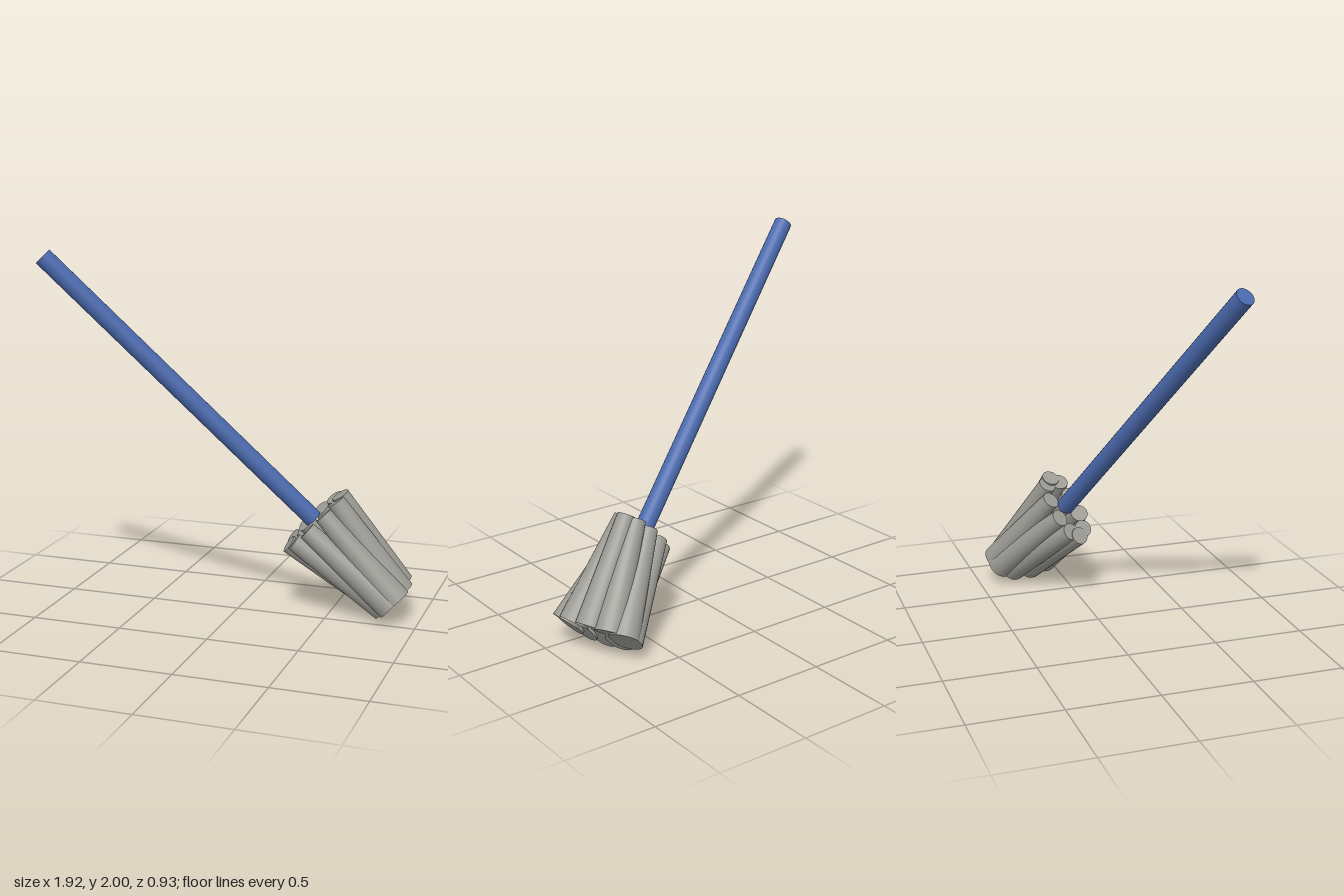
import * as THREE from 'three';

export function createModel() {
  const blue = new THREE.MeshStandardMaterial({ color: 0x4a69ad });
  blue.name = 'blue handle';
  const grey = new THREE.MeshStandardMaterial({ color: 0x9c9b95 });
  grey.name = 'grey strands';

  const model = new THREE.Group();
  model.name = 'mop';

  // Leaning mop; the origin is the foot of the handle
  const mop = new THREE.Group();
  mop.name = 'leaningMop';
  mop.position.set(0.414, 0.54, -0.061);
  mop.rotation.set(0, Math.PI / 9, Math.PI / 4, 'YZX');
  model.add(mop);

  // Handle
  const length = 2.015;
  const handle = new THREE.Mesh(new THREE.CylinderGeometry(0.05, 0.05, length, 24), blue);
  handle.name = 'handle';
  handle.position.y = length / 2;
  mop.add(handle);

  // Ring of flared strands, tilted outward at the top sideways and at the bottom fore and aft
  const strands = new THREE.Group();
  strands.name = 'mopHead';
  strands.position.y = -0.303;
  mop.add(strands);
  const count = 10, ring = 0.134, tilt = 0.205;
  const strandGeometry = new THREE.CylinderGeometry(0.05, 0.081, 0.605, 24);
  for (let i = 0; i < count; i++) {
    const angle = (i / count) * Math.PI * 2;
    const c = Math.cos(angle), s = Math.sin(angle);
    const strand = new THREE.Mesh(strandGeometry, grey);
    strand.name = 'strand' + (i + 1);
    strand.position.set(ring * c, 0, ring * s);
    strand.rotation.set(-tilt * s, 0, -tilt * c);
    strands.add(strand);
  }

  return model;
}
